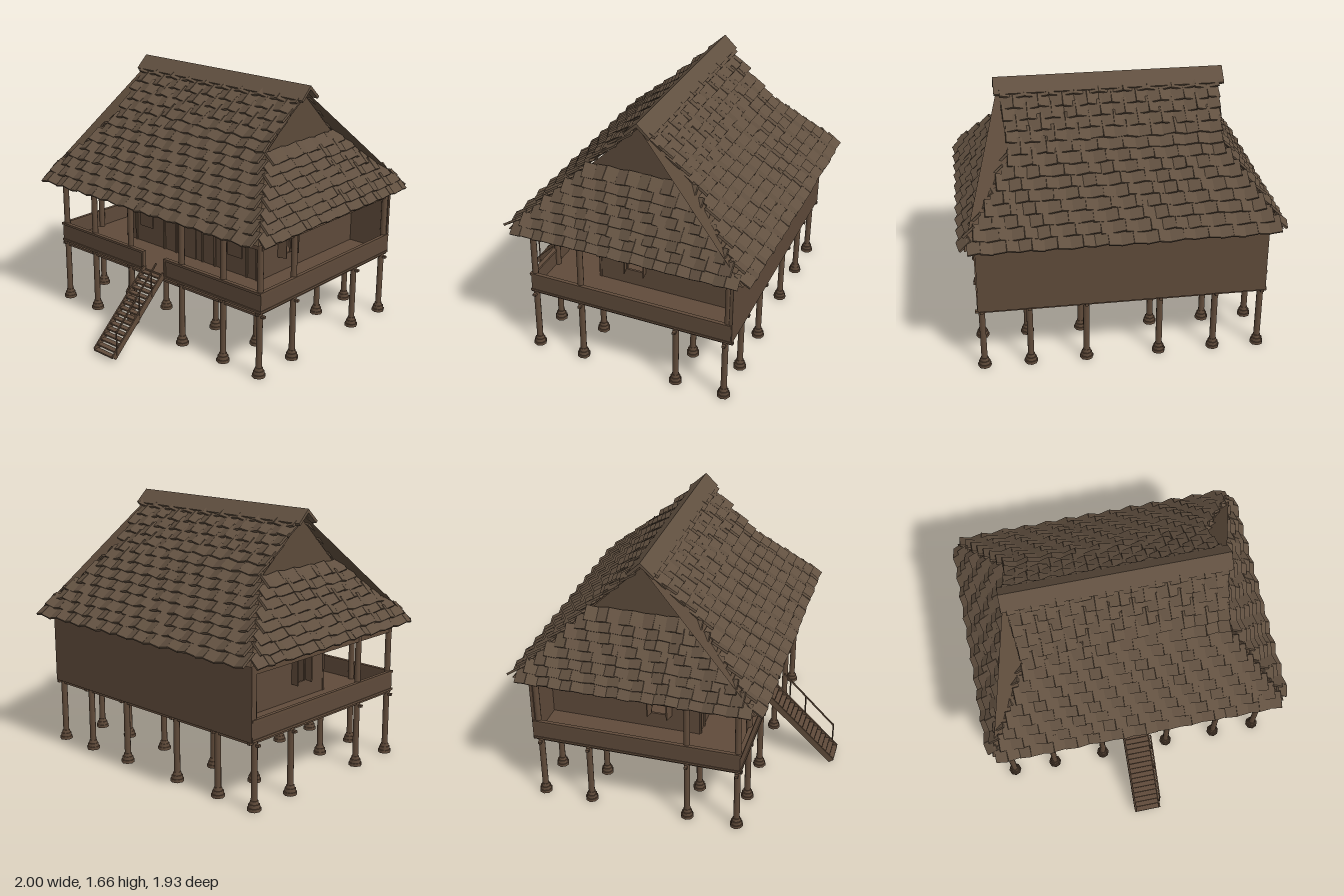
import * as THREE from 'three';
import { mergeGeometries } from 'three/addons/utils/BufferGeometryUtils.js';

const wood = new THREE.MeshStandardMaterial({ name: 'wood', color: 0x604b3a });
const wall = new THREE.MeshStandardMaterial({ name: 'wallBoards', color: 0x5d4939, side: THREE.DoubleSide });
const shingle = new THREE.MeshStandardMaterial({ name: 'shingle', color: 0x615040, flatShading: true });
const thatch = new THREE.MeshStandardMaterial({ name: 'roofDeck', color: 0x5c4a3a, side: THREE.DoubleSide, flatShading: true });

const V = (x, y, z) => new THREE.Vector3(x, y, z);
const lerp = THREE.MathUtils.lerp;
let seed = 7;
const rand = () => ((seed = (seed * 16807) % 2147483647) / 2147483647) - 0.5;

// Box given by its limits on each axis
function box(x0, x1, y0, y1, z0, z1) {
  return new THREE.BoxGeometry(x1 - x0, y1 - y0, z1 - z0)
    .translate((x0 + x1) / 2, (y0 + y1) / 2, (z0 + z1) / 2);
}
// Square bar between two points
function bar(a, b, w, h = w) {
  const g = new THREE.BoxGeometry(w, h, a.distanceTo(b));
  const m = new THREE.Matrix4().lookAt(b, a, V(0, 1, 0)).setPosition(a.clone().lerp(b, 0.5));
  return g.applyMatrix4(m);
}
function rod(x, z, y0, y1, r, sides = 10, r2 = r) {
  return new THREE.CylinderGeometry(r2, r, y1 - y0, sides).translate(x, (y0 + y1) / 2, z);
}
// Flat polygon fan
function fan(...pts) {
  const tri = [];
  for (let i = 1; i < pts.length - 1; i++) tri.push(pts[0], pts[i], pts[i + 1]);
  const g = new THREE.BufferGeometry().setFromPoints(tri);
  g.computeVertexNormals();
  return g;
}

// Roof dimensions
const RZ = -0.16, TOP = 1.62, EAVE = 0.9, GABLE = 1.3, DEPTH = 0.76;
const halfX = y => y > GABLE ? lerp(0.65, 0.685, (y - GABLE) / (TOP - GABLE)) : lerp(0.95, 0.65, (y - EAVE) / (GABLE - EAVE));
const halfZ = y => DEPTH * (TOP - y) / (TOP - EAVE);

// Overlapping shingles, rolled alternately left and right
function shingles(out, rows, yTop, place, half, along, down) {
  const normal = down.clone().cross(along);
  const step = (yTop - EAVE) / -down.y / rows;
  for (let r = 0; r < rows; r++) {
    const y = lerp(yTop, EAVE, (r + 0.5) / rows);
    const w = half(y), n = Math.max(3, Math.round(2 * w / 0.075)), tw = 2 * w / n;
    for (let c = 0; c < n; c++) {
      const g = new THREE.BoxGeometry(tw * 1.06, 0.014, step * 1.5);
      const odd = (r + c) % 2 ? 1 : -1;
      g.applyMatrix4(new THREE.Matrix4().makeRotationFromEuler(
        new THREE.Euler(-0.17 + rand() * 0.08, rand() * 0.08, odd * 0.27 + rand() * 0.08)));
      const p = place(y).addScaledVector(along, -w + (c + 0.5) * tw)
        .addScaledVector(normal, 0.014).addScaledVector(down, step * 0.2 + rand() * 0.008);
      g.applyMatrix4(new THREE.Matrix4().makeBasis(along, normal, down).setPosition(p));
      out.push(g);
    }
  }
}

export function createModel() {
  const model = new THREE.Group();
  model.name = 'stiltHouse';
  const add = (name, material, parts) => {
    const flat = parts.map(p => {
      const g = p.index ? p.toNonIndexed() : p;
      g.deleteAttribute('uv');
      return g;
    });
    const mesh = new THREE.Mesh(mergeGeometries(flat), material);
    mesh.name = name;
    model.add(mesh);
  };

  // Stilts and stepped footings
  const xs = [-0.87, -0.58, -0.23, 0.23, 0.58, 0.87], zs = [0.48, 0.16, -0.48, -0.8];
  const stilts = [], feet = [];
  for (const x of xs) for (const z of zs) {
    stilts.push(rod(x, z, 0.05, 0.43, 0.02));
    feet.push(rod(x, z, 0, 0.02, 0.042, 8), rod(x, z, 0.02, 0.042, 0.036, 8, 0.034), rod(x, z, 0.042, 0.062, 0.028, 8, 0.024));
  }
  add('stilts', wood, stilts);
  add('footings', wood, feet);

  // Floor with its joists
  add('floor', wood, [box(-0.89, 0.89, 0.425, 0.445, -0.84, 0.5)]);
  add('joists', wood, [
    ...zs.map(z => box(-0.91, 0.91, 0.395, 0.41, z - 0.01, z + 0.01)),
    ...xs.map(x => box(x - 0.01, x + 0.01, 0.41, 0.427, -0.85, 0.51))]);

  // Veranda posts and the beam they carry
  const posts = xs.map(x => rod(x, 0.48, 0.44, 0.98, 0.02));
  for (const x of [-0.87, 0.87]) posts.push(rod(x, 0.16, 0.44, 0.98, 0.02), rod(x, -0.81, 0.44, 0.9, 0.02));
  add('verandaPosts', wood, posts);
  const beams = [box(-0.89, 0.89, 0.82, 0.88, 0.475, 0.49)];
  for (const s of [-0.875, 0.875]) beams.push(box(s - 0.008, s + 0.008, 0.82, 0.88, -0.83, 0.49));
  add('eaveBeams', wood, beams);

  // Parapet with top and bottom rails, open at the stairs
  const parapet = [], rails = [];
  for (const s of [-1, 1]) {
    const [a, b] = s < 0 ? [-0.89, -0.1] : [0.1, 0.89];
    parapet.push(box(a, b, 0.43, 0.555, 0.485, 0.5));
    rails.push(box(a, b, 0.545, 0.56, 0.48, 0.507), box(a, b, 0.428, 0.442, 0.48, 0.507));
    const x = s * 0.885;
    parapet.push(box(x - 0.008, x + 0.008, 0.43, 0.555, -0.84, 0.5));
    rails.push(box(x - 0.012, x + 0.012, 0.545, 0.56, -0.84, 0.507), box(x - 0.012, x + 0.012, 0.428, 0.442, -0.84, 0.507));
    rails.push(box(s * 0.1 - 0.008, s * 0.1 + 0.008, 0.44, 0.56, 0.48, 0.507));
  }
  add('parapet', wall, parapet);
  add('parapetRails', wood, rails);

  // Room: back wall, front wall and side walls with a window
  add('backWall', wall, [box(-0.89, 0.89, 0.425, 0.9, -0.845, -0.825)]);
  add('frontWall', wall, [box(-0.6, 0.6, 0.44, 0.98, 0.15, 0.165)]);
  const sideShape = new THREE.Shape([[-0.16, 0.44], [0.83, 0.44], [0.83, 0.98], [-0.16, 0.98]].map(p => new THREE.Vector2(...p)));
  sideShape.holes.push(new THREE.Path([[0.03, 0.55], [0.03, 0.72], [0.14, 0.72], [0.155, 0.55]].map(p => new THREE.Vector2(...p))));
  const sideWalls = [], shutters = [];
  for (const s of [-1, 1]) {
    sideWalls.push(new THREE.ExtrudeGeometry(sideShape, { depth: 0.014, bevelEnabled: false })
      .rotateY(Math.PI / 2).translate(s * 0.59 - 0.007, 0, 0));
    shutters.push(bar(V(s * 0.6, 0.637, -0.02), V(s * 0.66, 0.637, -0.035), 0.008, 0.165));
    shutters.push(bar(V(s * 0.6, 0.637, -0.155), V(s * 0.655, 0.637, -0.165), 0.008, 0.165));
  }
  add('sideWalls', wall, sideWalls);
  add('shutters', wood, shutters);

  // Door, window panels and battens on the front wall
  const plates = [box(-0.06, 0.06, 0.446, 0.74, 0.165, 0.172)];
  for (const s of [-1, 1]) plates.push(box(s * 0.4 - 0.06, s * 0.4 + 0.06, 0.56, 0.74, 0.165, 0.172));
  add('doorAndWindows', wall, plates);
  const battens = [];
  for (const x of [-0.58, -0.5, -0.23, -0.12, 0.12, 0.23, 0.5, 0.58]) battens.push(box(x - 0.007, x + 0.007, 0.44, 0.95, 0.16, 0.174));
  add('wallBattens', wood, battens);

  // Stairs with a handrail on the left side
  const foot = V(0, 0.022, 0.945), head = V(0, 0.45, 0.495);
  const stringers = [-0.085, 0.085].map(x => bar(V(x, foot.y, foot.z), V(x, head.y, head.z), 0.01, 0.04));
  add('stairStringers', wood, stringers);
  const treads = [];
  for (let i = 0; i < 16; i++) {
    const p = foot.clone().lerp(head, (i + 0.2) / 16);
    treads.push(box(-0.085, 0.085, p.y - 0.005, p.y + 0.005, p.z - 0.018, p.z + 0.018));
  }
  add('stairTreads', wood, treads);
  const hand = [bar(V(0.088, 0.19, 0.92), V(0.088, 0.545, 0.565), 0.009)];
  for (const [z, y0, y1] of [[0.92, 0.02, 0.2], [0.72, 0.21, 0.395], [0.61, 0.33, 0.505]]) hand.push(rod(0.088, z, y0, y1, 0.005, 6));
  add('handrail', wood, hand);

  // Roof deck under the shingles, and the recessed gables
  const deck = [], gables = [], tiles = [];
  const at = (sx, sz, y) => V(sx * halfX(y), y, RZ + sz * halfZ(y));
  for (const s of [-1, 1]) {
    deck.push(fan(at(-s, s, TOP), at(-s, s, GABLE), at(-s, s, EAVE), at(s, s, EAVE), at(s, s, GABLE), at(s, s, TOP)));
    deck.push(fan(at(s, 1, GABLE), at(s, 1, EAVE), at(s, -1, EAVE), at(s, -1, GABLE)));
    gables.push(fan(V(s * 0.645, TOP, RZ), V(s * 0.645, GABLE - 0.01, RZ + halfZ(GABLE)), V(s * 0.645, GABLE - 0.01, RZ - halfZ(GABLE))));
    // Main slopes
    shingles(tiles, 14, TOP, y => V(0, y, RZ + s * halfZ(y)), halfX,
      V(s, 0, 0), V(0, EAVE - TOP, s * DEPTH).normalize());
    // Hipped ends
    shingles(tiles, 8, GABLE, y => V(s * halfX(y), y, RZ), halfZ,
      V(0, 0, -s), V(s * 0.3, EAVE - GABLE, 0).normalize());
  }
  add('roofDeck', thatch, deck);
  add('gables', thatch, gables);
  add('shingles', shingle, tiles);

  // Ridge cap
  const cap = new THREE.Shape([[0, 1.665], [-0.085, 1.585], [-0.075, 1.57], [0, 1.64], [0.075, 1.57], [0.085, 1.585]].map(p => new THREE.Vector2(...p)));
  add('ridgeCap', shingle, [new THREE.ExtrudeGeometry(cap, { depth: 1.43, bevelEnabled: false })
    .rotateY(Math.PI / 2).translate(-0.715, 0, RZ)]);

  return model;
}
